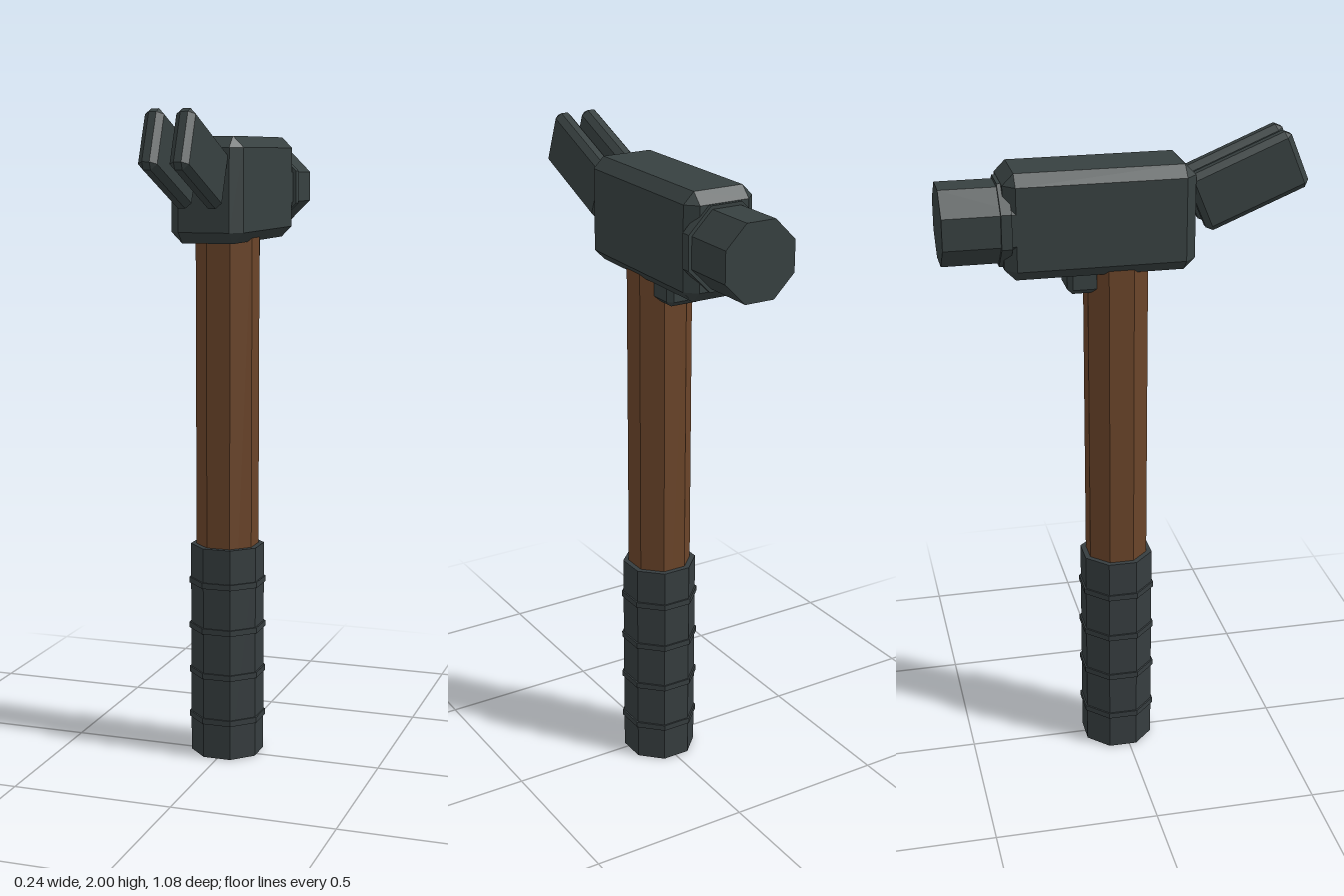
import * as THREE from 'three';
import { ConvexGeometry } from 'three/addons/geometries/ConvexGeometry.js';

const material = (name, color) => {
  const m = new THREE.MeshStandardMaterial({ color, flatShading: true });
  m.name = name;
  return m;
};

// Box with every edge and corner chamfered by c
function chamferBox(w, h, d, c) {
  const x = w / 2, y = h / 2, z = d / 2, points = [];
  for (const sx of [-1, 1]) for (const sy of [-1, 1]) for (const sz of [-1, 1]) {
    points.push(
      new THREE.Vector3(sx * x, sy * (y - c), sz * (z - c)),
      new THREE.Vector3(sx * (x - c), sy * y, sz * (z - c)),
      new THREE.Vector3(sx * (x - c), sy * (y - c), sz * z));
  }
  return new ConvexGeometry(points);
}

// Upright octagonal prism between two heights, with flats facing the axes
function octagon(apothem, from, to) {
  const r = apothem / Math.cos(Math.PI / 8);
  return new THREE.CylinderGeometry(r, r, to - from, 8)
    .rotateY(Math.PI / 8)
    .translate(0, (from + to) / 2, 0);
}

export function createModel() {
  const steel = material('dark steel', 0x374040);
  const rubber = material('grip rubber', 0x363d3f);
  const wood = material('brown wood', 0x6a4429);

  const model = new THREE.Group();
  model.name = 'hammer';
  const add = (name, geometry, mat, x = 0, y = 0, z = 0) => {
    const mesh = new THREE.Mesh(geometry, mat);
    mesh.name = name;
    mesh.position.set(x, y, z);
    model.add(mesh);
    return mesh;
  };

  // Handle and ribbed grip
  const handleZ = -0.022;
  add('handle', octagon(0.09, 0, 1.7), wood, 0, 0, handleZ);
  add('grip', octagon(0.106, 0.001, 0.675), rubber, 0, 0, handleZ);
  for (const y of [0.12, 0.267, 0.412, 0.558]) {
    add('gripRing', octagon(0.111, y - 0.009, y + 0.009), rubber, 0, 0, handleZ);
  }

  // Head block and the small lug beneath it
  add('headBlock', chamferBox(0.224, 0.312, 0.56, 0.033), steel, 0, 1.774, -0.082);
  add('lug', chamferBox(0.12, 0.11, 0.1, 0.015), steel, 0, 1.608, -0.125);

  // Octagonal striking face and its collar, pointing backwards
  const faceward = (apothem, from, to) => octagon(apothem, from, to).rotateX(-Math.PI / 2);
  add('collar', faceward(0.122, 0.342, 0.373), steel, 0, 1.774, 0);
  add('strikingFace', faceward(0.112, 0.3, 0.539), steel, 0, 1.774, 0);

  // Pair of raised claws
  for (const side of [-1, 1]) {
    const claw = add('claw', chamferBox(0.056, 0.18, 0.33, 0.017), steel, side * 0.046, 1.862, 0.36);
    claw.rotation.x = -0.39;
  }
  return model;
}
